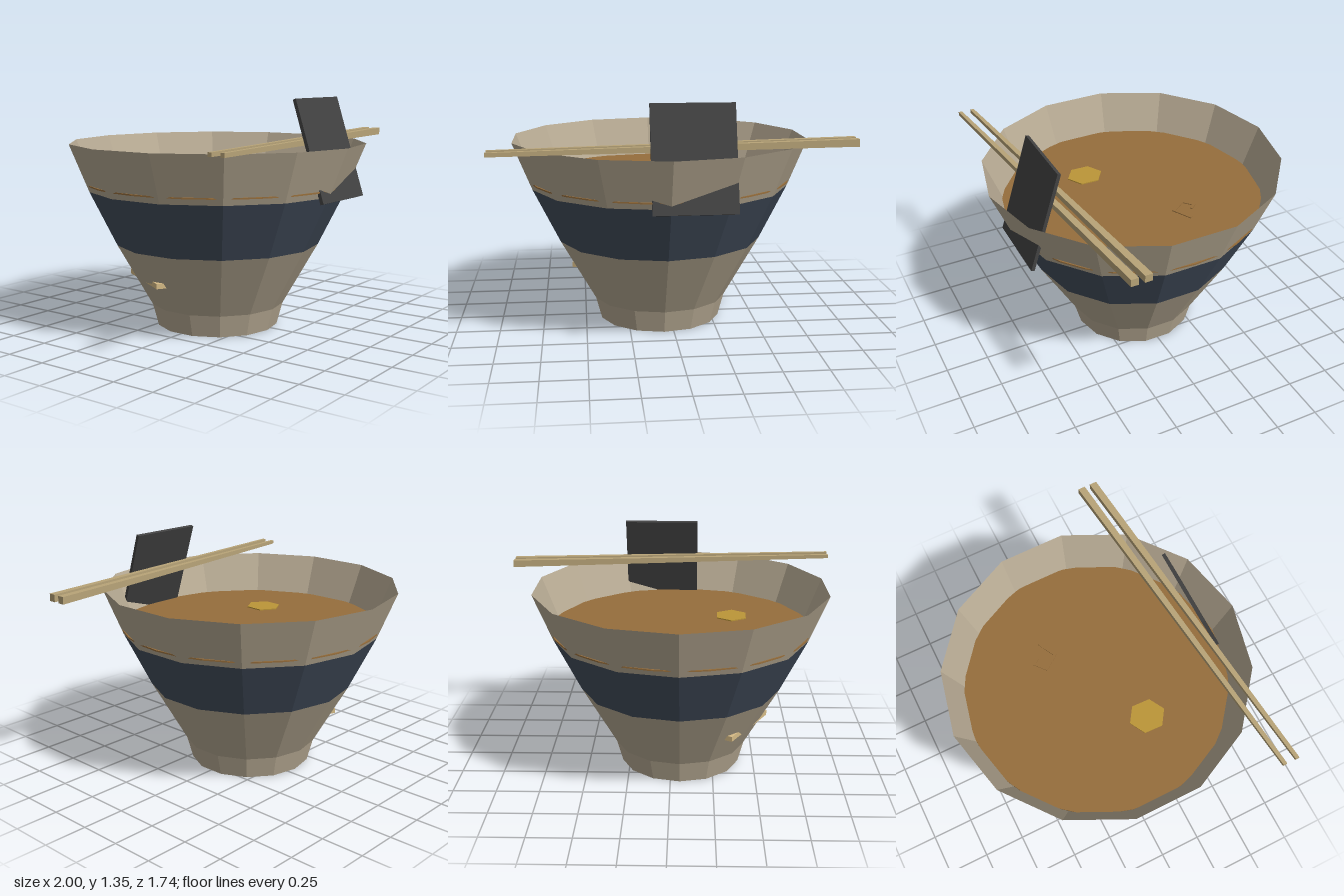
import * as THREE from 'three';

const mat = (name, color, extra = {}) => {
  const m = new THREE.MeshStandardMaterial({ color, flatShading: true, ...extra });
  m.name = name;
  return m;
};

export function createModel() {
  const model = new THREE.Group();
  model.name = 'noodleBowl';
  const double = { side: THREE.DoubleSide };
  const clay = mat('clay', 0xb8ab94, double);
  const navy = mat('navy glaze', 0x434e5d, double);
  const brothMat = mat('broth', 0x966e3c);
  const yolkMat = mat('yolk', 0xbc9638);
  const seaweedMat = mat('seaweed', 0x424242);
  const wood = mat('wood', 0xb8a478);
  const noodleMat = mat('noodle', 0xd6bb86);

  const add = (parent, name, geo, material, x = 0, y = 0, z = 0) => {
    const mesh = new THREE.Mesh(geo, material);
    mesh.name = name;
    mesh.position.set(x, y, z);
    parent.add(mesh);
    return mesh;
  };

  // Bowl and its contents share an axis slightly off centre
  const bowl = new THREE.Group();
  bowl.name = 'bowl';
  bowl.position.x = -0.055;
  model.add(bowl);

  // Fourteen-sided thin shell in stacked bands: [radius, height]
  const shell = (name, material, pts) =>
    add(bowl, name, new THREE.LatheGeometry(pts.map(p => new THREE.Vector2(...p)), 14), material);
  shell('footAndLowerWall', clay, [[0, 0], [0.36, 0], [0.395, 0.13], [0.6, 0.493]]);
  shell('blueBand', navy, [[0.6, 0.493], [0.757, 0.812]]);
  shell('upperWall', clay, [[0.757, 0.812], [0.868, 1.087]]);

  // Broth surface, with its edge just reaching through the wall faces
  const brothY = 0.85;
  add(bowl, 'broth', new THREE.CylinderGeometry(0.766, 0.766, 0.008, 32), brothMat, 0, brothY, 0);

  // Yolk floating on the broth
  const yolk = add(bowl, 'yolk', new THREE.CylinderGeometry(0.108, 0.108, 0.009, 6), yolkMat, -0.307, brothY + 0.006, 0.17);
  yolk.scale.x = 0.93;
  yolk.rotation.y = -0.04;

  // Open angular curl breaking the broth surface
  const curl = new THREE.Shape([
    [0.25, 0.24], [0.215, 0.28], [0.145, 0.22], [0.215, 0.125], [0.33, 0.185],
    [0.32, 0.2], [0.22, 0.148], [0.17, 0.22], [0.215, 0.258], [0.237, 0.232],
  ].map(p => new THREE.Vector2(...p)));
  const curlGeo = new THREE.ExtrudeGeometry(curl, { depth: 0.006, bevelEnabled: false }).rotateX(-Math.PI / 2);
  add(model, 'brothCurl', curlGeo, brothMat, 0, brothY + 0.003, 0);

  // Noodle strip low in the bowl, its corners showing through the wall
  const noodle = add(bowl, 'noodle', new THREE.BoxGeometry(0.06, 0.03, 0.45), noodleMat, -0.385, 0.305, -0.215);
  noodle.rotation.y = -Math.atan2(0.5, 0.865);

  // Seaweed sheet leaning back over the rim
  const seaweed = add(model, 'seaweed', new THREE.BoxGeometry(0.455, 0.59, 0.02), seaweedMat, 0.0725, 1.066, 0.68);
  seaweed.rotation.x = -0.314;

  // Pair of square tapered chopsticks resting on the rim
  const stickGeo = new THREE.BoxGeometry(2, 1, 1);
  const p = stickGeo.attributes.position;
  for (let i = 0; i < p.count; i++) {
    const t = (p.getX(i) + 1) / 2;
    const w = 0.022 + 0.02 * t;
    p.setXYZ(i, p.getX(i), p.getY(i) * w, p.getZ(i) * w + 0.11 - 0.22 * t);
  }
  for (const z of [0.54, 0.615]) add(model, 'chopstick', stickGeo, wood, 0, 1.112, z);

  return model;
}
